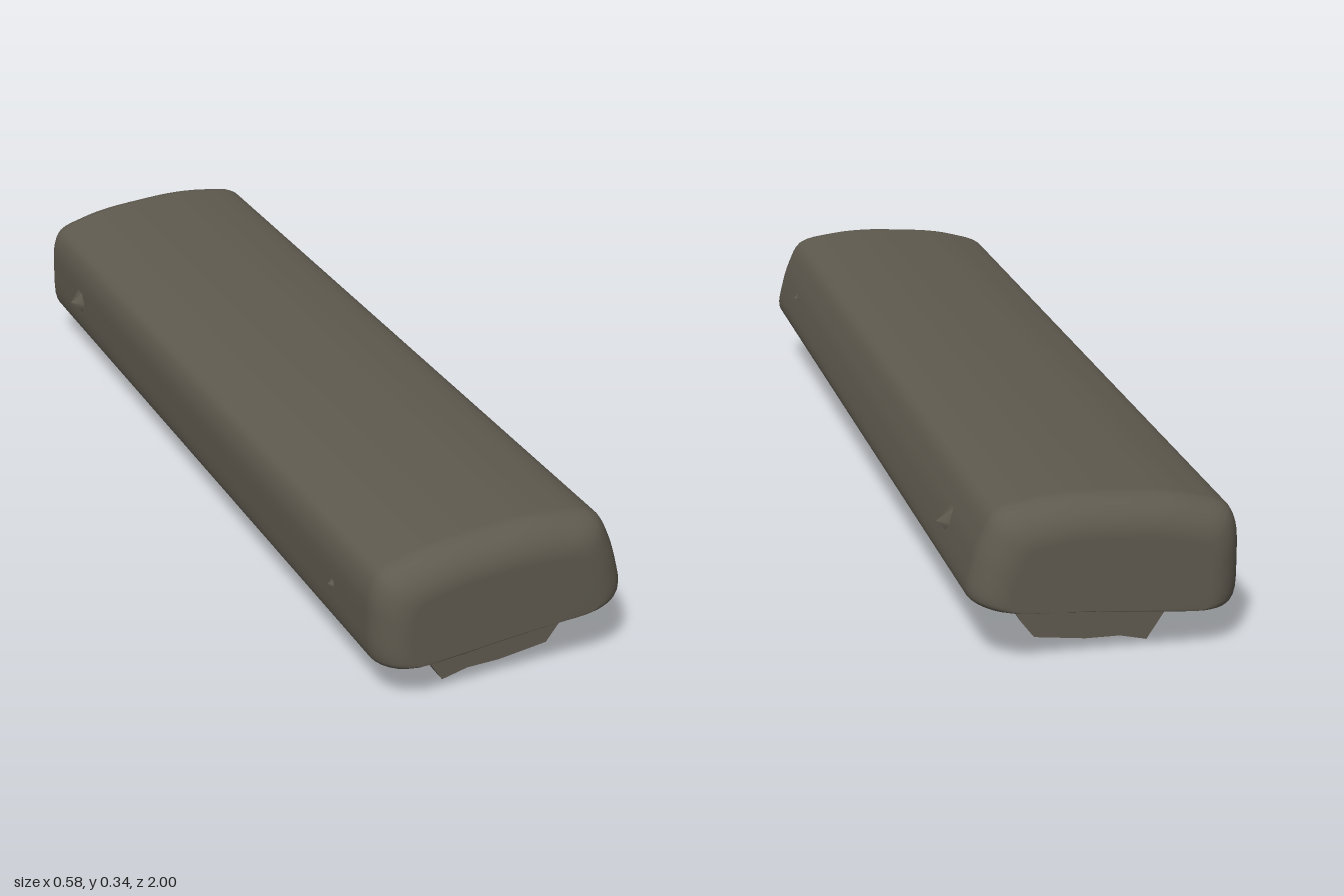
import * as THREE from 'three';

const housingMat = new THREE.MeshStandardMaterial({ color: 0x5f5a4f });
housingMat.name = 'dark taupe housing';
const tubeMat = new THREE.MeshStandardMaterial({ color: 0xd8d5c6 });
tubeMat.name = 'pale lamp tube';

// The whole fixture leans: its level line rises towards +x.
const level = (x) => 0.115 + 0.09 * x;

function mesh(name, geometry, material) {
  const m = new THREE.Mesh(geometry, material);
  m.name = name;
  return m;
}

// Straight extrusion of an outline between two z positions.
function slab(name, points, z0, z1) {
  const shape = new THREE.Shape(points.map(([x, y]) => new THREE.Vector2(x, y)));
  const g = new THREE.ExtrudeGeometry(shape, { depth: z1 - z0, bevelEnabled: false });
  g.translate(0, 0, z0);
  return mesh(name, g, housingMat);
}

// Domed housing: one rounded section lofted along z with softened ends.
function housingGeometry() {
  const outline = [
    [-0.245, 0.09], [-0.15, 0.094], [0, 0.112], [0.15, 0.126], [0.26, 0.137], [0.279, 0.155],
    [0.27, 0.215], [0.252, 0.27], [0.222, 0.32], [0.14, 0.338], [0.06, 0.342], [-0.03, 0.336],
    [-0.12, 0.326], [-0.18, 0.312], [-0.243, 0.287], [-0.261, 0.25], [-0.265, 0.19], [-0.26, 0.105],
  ].map(([x, y]) => new THREE.Vector3(x, y, 0));
  const n = 72;
  const ring = new THREE.CatmullRomCurve3(outline, true).getPoints(n).slice(0, n);

  const radius = 0.07;
  const steps = 7;
  const stations = [];
  for (let i = 0; i <= steps; i++) {
    const a = (i / steps) * Math.PI / 2;
    stations.push({ z: 1 - radius + radius * Math.sin(a), inset: radius * (1 - Math.cos(a)) });
  }
  const all = [
    { z: -1, inset: 0.16 },
    ...stations.map((s) => ({ z: -s.z, inset: s.inset })).reverse(),
    ...stations,
    { z: 1, inset: 0.16 },
  ];

  const pos = [];
  const idx = [];
  for (const { z, inset } of all) {
    const kx = 1 - inset / 0.27;
    const ky = 1 - inset / 0.21;
    for (const p of ring) {
      const x = p.x * kx;
      pos.push(x, level(x) + (p.y - level(p.x)) * ky, z);
    }
  }
  for (let s = 0; s < all.length - 1; s++) {
    for (let i = 0; i < n; i++) {
      const j = (i + 1) % n;
      const a = s * n + i, b = s * n + j, c = a + n, d = b + n;
      idx.push(a, b, d, a, d, c);
    }
  }
  // End faces
  const back = pos.length / 3;
  const last = (all.length - 1) * n;
  pos.push(0, level(0) + 0.04, -1, 0, level(0) + 0.04, 1);
  for (let i = 0; i < n; i++) {
    const j = (i + 1) % n;
    idx.push(back, j, i, back + 1, last + i, last + j);
  }
  const g = new THREE.BufferGeometry();
  g.setAttribute('position', new THREE.Float32BufferAttribute(pos, 3));
  g.setIndex(idx);
  g.computeVertexNormals();
  return g;
}

export function createModel() {
  const group = new THREE.Group();
  group.name = 'lampFixture';
  group.add(mesh('housing', housingGeometry(), housingMat));

  // Mounting tray under the housing
  group.add(slab('tray', [
    [-0.17, 0.086], [-0.145, 0.08], [-0.1, 0.092], [0.14, 0.112], [0.165, 0.105], [0.19, 0.112],
    [0.2, 0.145], [-0.17, 0.12],
  ], -0.9, 0.9));

  // Tapered end brackets that hold the tubes
  const bracket = [
    [-0.16, 0.088], [-0.135, 0.065], [-0.095, 0.004], [-0.04, 0.018], [0.03, 0.02], [0.135, 0.035],
    [0.165, 0.075], [0.19, 0.12], [0.18, 0.15], [-0.14, 0.12],
  ];
  group.add(slab('frontBracket', bracket, 0.885, 0.925));
  group.add(slab('backBracket', bracket, -0.91, -0.88));

  // Lamp tubes, each with end sockets and a thin reflector fin beside it
  const lamps = [
    { name: 'left', x: 0.088, y: 0.074, finX: 0.03, finY: 0.042 },
    { name: 'right', x: -0.04, y: 0.063, finX: -0.092, finY: 0.01 },
  ];
  for (const { name, x, y, finX, finY } of lamps) {
    const tube = new THREE.CylinderGeometry(0.033, 0.033, 1.74, 24);
    tube.rotateX(Math.PI / 2);
    tube.translate(x, y, 0.02);
    group.add(mesh(name + 'Tube', tube, tubeMat));
    for (const z of [-0.86, 0.87]) {
      const socket = new THREE.CylinderGeometry(0.038, 0.038, 0.05, 16);
      socket.rotateX(Math.PI / 2);
      socket.translate(x, y, z);
      group.add(mesh(name + 'Socket', socket, housingMat));
    }
    group.add(slab(name + 'Fin', [
      [finX - 0.012, 0.11], [finX - 0.005, finY], [finX + 0.005, finY], [finX + 0.008, 0.11],
    ], -0.88, 0.885));
  }

  // Small pointed latches on the flanks
  for (const [side, y, tip] of [[1, 0.228, 0.288], [-1, 0.18, 0.29]]) {
    for (const [z, reach] of [[-0.74, tip], [0.77, 0.274]]) {
      const latch = new THREE.ConeGeometry(0.045, 0.04, 6);
      latch.rotateZ(-side * Math.PI / 2);
      latch.translate(side * (reach - 0.02), y, z);
      group.add(mesh('latch', latch, housingMat));
    }
  }
  return group;
}
